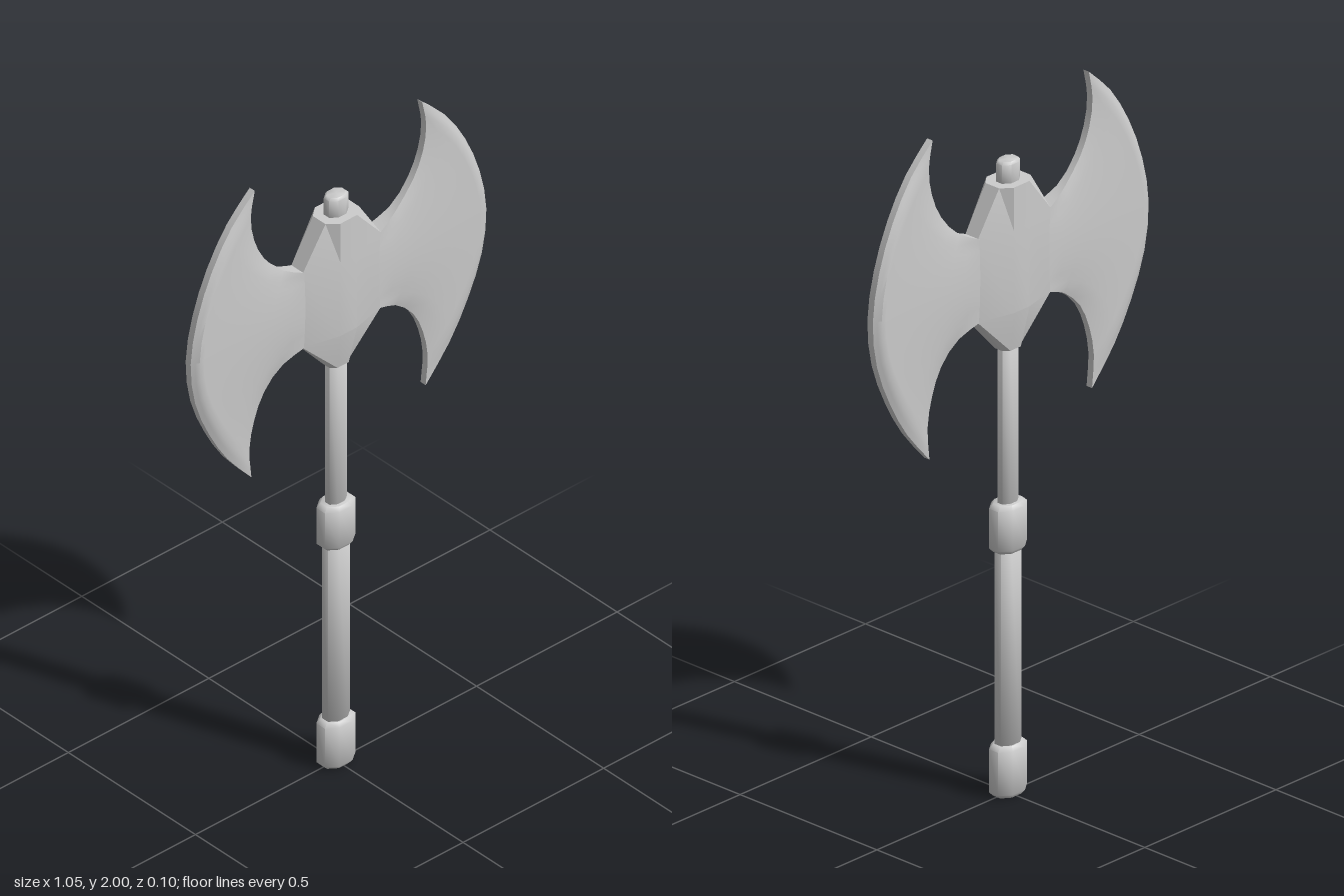
import * as THREE from 'three';
import { toCreasedNormals } from 'three/addons/utils/BufferGeometryUtils.js';

const material = new THREE.MeshStandardMaterial({ color: 0xcccccc });

// Skins a list of closed rings, each a list of [x, y, z] of equal length.
function loft(rings, crease) {
  const n = rings[0].length;
  const index = [];
  for (let i = 0; i < rings.length - 1; i++) {
    for (let k = 0; k < n; k++) {
      const a = i * n + k, b = i * n + (k + 1) % n;
      index.push(a, b, a + n, b, b + n, a + n);
    }
  }
  const geometry = new THREE.BufferGeometry();
  geometry.setAttribute('position', new THREE.Float32BufferAttribute(rings.flat(2), 3));
  geometry.setIndex(index);
  return toCreasedNormals(geometry, crease);
}

function addMesh(group, name, geometry) {
  const mesh = new THREE.Mesh(geometry, material);
  mesh.name = name;
  group.add(mesh);
  return mesh;
}

// Eight-sided, slightly flattened rod with bevelled ends; rx and rz are half widths.
function rod(y0, y1, rx, rz, bevel) {
  const r = 1 / Math.cos(Math.PI / 8);
  const inner = r * (1 - bevel / rx);
  const profile = [[0, y0], [inner, y0], [r, y0 + bevel], [r, y1 - bevel], [inner, y1], [0, y1]]
    .map(([x, y]) => new THREE.Vector2(x, y));
  const geometry = new THREE.LatheGeometry(profile, 8, Math.PI / 8);
  geometry.scale(rx, 1, rz);
  return toCreasedNormals(geometry, 0.9);
}

const curve = (points) =>
  new THREE.CatmullRomCurve3(points.map(([x, y]) => new THREE.Vector3(x, y, 0)));

// Blade on the +x side: rows run from the straight root to the bulging cutting edge.
function bladeGeometry() {
  const upper = curve([[0.13, 1.66], [0.2, 1.695], [0.265, 1.765], [0.3, 1.84], [0.312, 1.92], [0.298, 2.0]]);
  const lower = curve([[0.13, 1.42], [0.2, 1.39], [0.265, 1.33], [0.3, 1.255], [0.317, 1.17], [0.31, 1.075]]);
  const edge = curve([[0.298, 2.0], [0.38, 1.92], [0.45, 1.81], [0.502, 1.68], [0.526, 1.545],
    [0.51, 1.41], [0.46, 1.285], [0.395, 1.175], [0.31, 1.075]]);
  const steps = 16;
  const section = (t, flat) => {
    const top = upper.getPoint(t), bottom = lower.getPoint(t);
    const front = [];
    for (let k = 0; k <= steps; k++) {
      const v = k / steps;
      const chord = new THREE.Vector3().lerpVectors(upper.getPoint(1), lower.getPoint(1), v);
      const p = top.clone().lerp(bottom, v).addScaledVector(edge.getPoint(v).sub(chord), t);
      // Thick in the middle, thinning to the rim and the cutting edge
      const across = Math.max(Math.sqrt(Math.sin(Math.PI * v)), 1 - t * 4);
      const along = Math.min(1, (1 - t) / 0.12);
      front.push([p.x, p.y, flat ? 0 : 0.01 + 0.015 * across * along]);
    }
    return [...front, ...front.map(([x, y, z]) => [x, y, -z]).reverse()];
  };
  const stations = [0, 0.1, 0.2, 0.3, 0.4, 0.5, 0.6, 0.7, 0.8, 0.88, 0.94, 1];
  return loft([...stations.map((t) => section(t, false)), section(1, true)], 0.7);
}

// Faceted block in the middle of the head; columns are y, w, s, c, d.
function headGeometry() {
  const ring = ([y, w, s, c, d]) => [[w, s], [w, -s], [c, -d], [-c, -d], [-w, -s], [-w, s], [-c, d], [c, d]]
    .map(([x, z]) => [x, y, z]);
  return loft([
    [1.3, 0, 0, 0, 0],
    [1.3, 0.036, 0.014, 0.02, 0.028],
    [1.42, 0.14, 0.023, 0.03, 0.05],
    [1.66, 0.14, 0.023, 0.03, 0.05],
    [1.785, 0.06, 0.025, 0.03, 0.05],
    [1.785, 0, 0, 0, 0],
  ].map(ring), 0.3);
}

export function createModel() {
  const group = new THREE.Group();
  group.name = 'doubleAxe';

  // Handle
  addMesh(group, 'pommel', rod(0, 0.15, 0.055, 0.04, 0.012));
  addMesh(group, 'grip', rod(0.14, 0.72, 0.039, 0.028, 0.004));
  addMesh(group, 'collar', rod(0.71, 0.85, 0.055, 0.04, 0.012));
  addMesh(group, 'shaft', rod(0.84, 1.32, 0.031, 0.021, 0.003));
  addMesh(group, 'topStub', rod(1.77, 1.845, 0.034, 0.026, 0.007));

  // Head
  addMesh(group, 'headBlock', headGeometry());
  const blade = bladeGeometry();
  addMesh(group, 'leftBlade', blade);
  addMesh(group, 'rightBlade', blade).rotation.y = Math.PI;

  return group;
}
